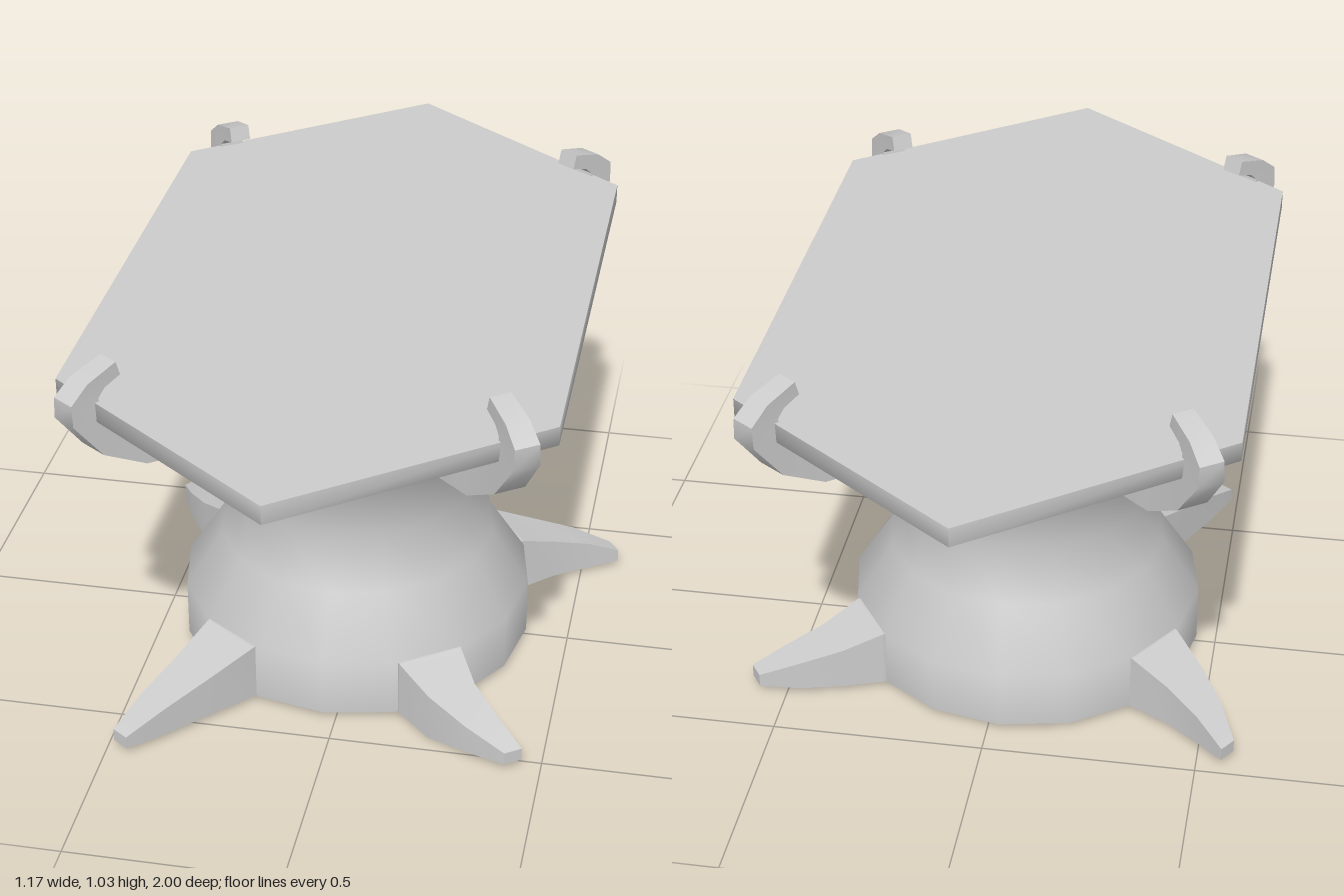
import * as THREE from 'three';
import { mergeGeometries, toCreasedNormals } from 'three/addons/utils/BufferGeometryUtils.js';

const material = new THREE.MeshStandardMaterial({ color: 0xcccccc, side: THREE.DoubleSide });

function triangles(positions) {
  const geometry = new THREE.BufferGeometry();
  geometry.setAttribute('position', new THREE.Float32BufferAttribute(positions, 3));
  geometry.computeVertexNormals();
  return geometry;
}

// Joins a row of matching rings; walls are smooth up to the crease angle, ends are flat.
// A hollow solid has no underside (the last wall) and no first end.
function loft(rings, crease, hollow = false) {
  const n = rings[0].length;
  const last = rings.length - 1;
  const walls = [];
  const ends = [];
  for (let i = 0; i < last; i++) {
    for (let j = 0; j < (hollow ? n - 1 : n); j++) {
      const k = (j + 1) % n;
      walls.push(...rings[i][j], ...rings[i][k], ...rings[i + 1][k]);
      walls.push(...rings[i][j], ...rings[i + 1][k], ...rings[i + 1][j]);
    }
  }
  for (let j = 1; j < n - 1; j++) {
    if (!hollow) ends.push(...rings[0][0], ...rings[0][j + 1], ...rings[0][j]);
    ends.push(...rings[last][0], ...rings[last][j], ...rings[last][j + 1]);
  }
  return mergeGeometries([toCreasedNormals(triangles(walls), crease), triangles(ends)]);
}

// Four-cornered section of a limb that runs outward along +x.
function section(r0, y0, r1, y1, width, side = 0) {
  const h = width / 2;
  return [[r0, y0, side - h], [r1, y1, side - h], [r1, y1, side + h], [r0, y0, side + h]];
}

// Hexagonal ring with its edges moved inward by d.
function hexRing(y, d) {
  const x = 0.543 - d;
  const tip = 1 - d / 0.8;
  const z = tip - 0.755 * x;
  return [[x, y, z], [x, y, -z], [0, y, -tip], [-x, y, -z], [-x, y, z], [0, y, tip]];
}

export function createModel() {
  const model = new THREE.Group();
  const add = (geometry, name, angle = 0) => {
    const mesh = new THREE.Mesh(geometry, material);
    mesh.name = name;
    mesh.position.x = -0.028;
    mesh.rotation.y = angle;
    model.add(mesh);
  };

  // Waisted, open-ended pedestal with a head that is longer from front to back
  const profile = [
    [0.425, 0.015], [0.425, 0.155], [0.335, 0.295], [0.302, 0.44],
    [0.335, 0.585], [0.425, 0.73], [0.425, 0.865],
  ].map(([r, y]) => new THREE.Vector2(r, y));
  const pedestal = new THREE.LatheGeometry(profile, 16);
  const points = pedestal.attributes.position;
  for (let i = 0; i < points.count; i++) {
    if (points.getY(i) > 0.7) points.setZ(i, points.getZ(i) * 1.14);
  }
  add(pedestal, 'pedestal');

  // Long hexagonal top with a bevelled underside
  add(loft([hexRing(0.885, 0.045), hexRing(0.915, 0), hexRing(0.96, 0)], 1.35), 'tableTop');

  // Curved claws that grip the edge of the top: outer r, y, inner r, y, width
  const claw = loft([
    section(0.42, 0.705, 0.42, 0.863, 0.165),
    section(0.465, 0.705, 0.475, 0.863, 0.165),
    section(0.54, 0.75, 0.55, 0.864, 0.13),
    section(0.68, 0.765, 0.635, 0.875, 0.09),
    section(0.79, 0.83, 0.725, 0.905, 0.072),
    section(0.862, 0.925, 0.785, 0.942, 0.062),
    section(0.862, 0.975, 0.79, 0.967, 0.058),
    section(0.815, 1.01, 0.77, 0.985, 0.055),
    section(0.735, 1.032, 0.725, 0.998, 0.05),
  ], 0.75);
  const steep = 0.965;
  for (const angle of [steep, -steep, Math.PI - steep, Math.PI + steep]) {
    add(claw, 'claw', angle);
  }

  // Tapering hollow feet: direction, reach, sideways bend of the toe, sag of the middle
  const feet = [
    ['frontLeftFoot', -steep, 0.7, -0.08, 0.015],
    ['frontRightFoot', steep - Math.PI, 0.77, 0, 0],
    ['backLeftFoot', 0.61, 0.7, 0.055, 0],
    ['backRightFoot', Math.PI - 0.61, 0.706, 0.063, 0],
  ];
  for (const [name, angle, reach, bend, sag] of feet) {
    const stations = [
      [-0.06, 0.015, 0.157, 0.16], [0, 0.015, 0.157, 0.16],
      [0.35, 0.015 - sag, 0.12, 0.12], [0.7, 0.015, 0.088, 0.085],
      [1, 0.018, 0.05, 0.045],
    ];
    add(loft(stations.map(([t, y0, y1, w]) => {
      const r = 0.42 + (reach - 0.42) * t;
      return section(r, y0, r, y1, w, bend * t * t);
    }), 0.2, true), name, angle);
  }

  return model;
}
